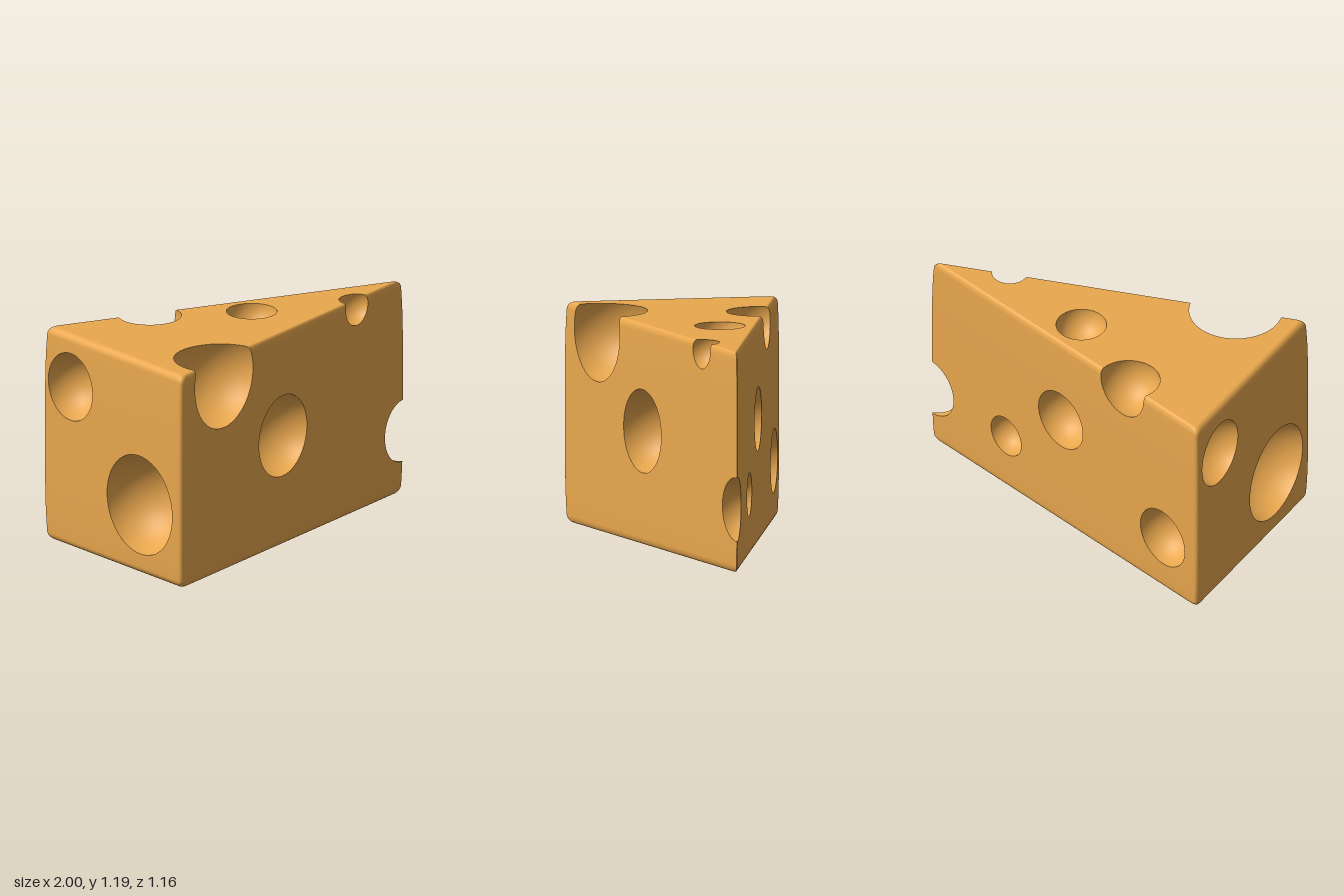
import * as THREE from 'three';

const H = 1.19, BEVEL = 0.04, SEG = 6;

// Spherical holes: x, y, z, radius
const HOLES = [
  [-0.62, 1.08, 0.45, 0.273],   // front top edge
  [-0.085, 0.615, 0.319, 0.225], // front face
  [0.587, 1.15, 0.118, 0.103],  // front top edge near the tip
  [0.025, 1.19, -0.08, 0.135],  // top face
  [-0.44, 1.155, -0.37, 0.173], // rear top edge
  [1.0, 0.343, 0, 0.172],       // tip
  [0.03, 0.683, -0.285, 0.173], // rear face
  [0.44, 0.338, -0.165, 0.118],
  [-0.735, 0.337, -0.51, 0.173],
  [-1.0, 0.905, -0.354, 0.186], // wide end
  [-1.0, 0.39, 0.2325, 0.275],
];

// How far the outline is drawn in at a height: a rounded rim plus a slight bulge
function insetAt(y) {
  const d = Math.max(0, Math.min(y, H - y));
  const k = Math.max(0, 1 - d / BEVEL);
  return 0.75 * (1 - Math.sqrt(1 - k * k)) + 0.25 * Math.pow(1 - d / (H / 2), 4);
}

// Triangular outline with softened corners, counter-clockwise from above
function outlineAt(y) {
  const t = insetAt(y);
  const corners = [
    [1.01 - 0.07 * t, 0, 0.02],
    [-1 + 0.045 * t, -0.588 + 0.045 * t, 0.035],
    [-1 + 0.045 * t, 0.588 - 0.045 * t, 0.035],
  ].map(([x, z, cut]) => ({ p: new THREE.Vector2(x, z), cut }));
  return corners.flatMap(({ p, cut }, i) => {
    const toward = (o) => o.p.clone().sub(p).setLength(cut).add(p);
    const a = toward(corners[(i + 2) % 3]), b = toward(corners[(i + 1) % 3]);
    return new THREE.QuadraticBezierCurve(a, p, b).getPoints(SEG);
  });
}

// Positive inside the wedge
function wedgeField(v) {
  let f = Math.min(v.y, H - v.y);
  const ring = outlineAt(v.y);
  ring.forEach((p, i) => {
    const q = ring[(i + 1) % ring.length];
    const dx = q.x - p.x, dz = q.y - p.y;
    f = Math.min(f, ((v.x - p.x) * dz - (v.z - p.y) * dx) / Math.hypot(dx, dz));
  });
  return f;
}

// Positive outside every hole
function holeField(v) {
  return Math.min(...HOLES.map(([x, y, z, r]) => Math.hypot(v.x - x, v.y - y, v.z - z) - r));
}

// Closed rounded wedge from stacked outlines
function wedgeGeometry() {
  const lower = [];
  for (let i = 0; i <= 8; i++) lower.push(BEVEL * (1 - Math.cos((i / 8) * Math.PI / 2)));
  lower.push(0.09, 0.17, 0.28, 0.42);
  const ys = [...lower, H / 2, ...lower.map((y) => H - y).reverse()];
  const pos = [], index = [];
  ys.forEach((y) => outlineAt(y).forEach((p) => pos.push(p.x, y, p.y)));
  const n = 3 * (SEG + 1), last = (ys.length - 1) * n, base = ys.length * n;
  pos.push(-0.33, 0, 0, -0.33, H, 0);
  for (let i = 0; i < n; i++) {
    const j = (i + 1) % n;
    for (let k = 0; k < last; k += n) {
      index.push(k + i, k + j, k + n + j, k + i, k + n + j, k + n + i);
    }
    index.push(base, j, i, base + 1, last + i, last + j);
  }
  const g = new THREE.BufferGeometry();
  g.setAttribute('position', new THREE.Float32BufferAttribute(pos, 3));
  g.setIndex(index);
  g.computeVertexNormals();
  return g;
}

// Sphere facing inwards
function cavityGeometry([x, y, z, r]) {
  const g = new THREE.SphereGeometry(r, 64, 44).scale(-1, 1, 1);
  const p = g.attributes.position, nor = g.attributes.normal;
  for (let i = 0; i < p.count; i++) {
    nor.setXYZ(i, -p.getX(i) / r, -p.getY(i) / r, -p.getZ(i) / r);
  }
  return g.translate(x, y, z);
}

const mix = (a, b, t) => ({
  p: a.p.clone().lerp(b.p, t),
  n: a.n.clone().lerp(b.n, t).normalize(),
});

// Keep the part of a surface where field > 0, refining triangles along the cut
function trim(geometry, field, maxEdge) {
  const P = geometry.attributes.position, N = geometry.attributes.normal;
  const pos = [], nor = [];

  const cross = (a, b) => {
    let lo = 0, hi = 1;
    const startsIn = field(a.p) > 0, v = new THREE.Vector3();
    for (let i = 0; i < 14; i++) {
      const m = (lo + hi) / 2;
      if ((field(v.lerpVectors(a.p, b.p, m)) > 0) === startsIn) lo = m;
      else hi = m;
    }
    return mix(a, b, (lo + hi) / 2);
  };

  const clip = (tri) => {
    const inside = tri.map((v) => field(v.p) > 0), poly = [];
    tri.forEach((v, i) => {
      const j = (i + 1) % 3;
      if (inside[i]) poly.push(v);
      if (inside[i] !== inside[j]) poly.push(cross(v, tri[j]));
    });
    for (let i = 1; i + 1 < poly.length; i++) {
      for (const v of [poly[0], poly[i], poly[i + 1]]) {
        pos.push(v.p.x, v.p.y, v.p.z);
        nor.push(v.n.x, v.n.y, v.n.z);
      }
    }
  };

  const refine = (tri) => {
    const len = tri.map((v, i) => v.p.distanceTo(tri[(i + 1) % 3].p));
    const long = Math.max(...len);
    if (long > maxEdge) {
      const centre = tri[0].p.clone().add(tri[1].p).add(tri[2].p).divideScalar(3);
      if (Math.abs(field(centre)) < long) {
        const i = len.indexOf(long);
        const a = tri[i], b = tri[(i + 1) % 3], c = tri[(i + 2) % 3], m = mix(a, b, 0.5);
        refine([a, m, c]);
        refine([m, b, c]);
        return;
      }
    }
    clip(tri);
  };

  const idx = geometry.index.array;
  for (let i = 0; i < idx.length; i += 3) {
    refine([0, 1, 2].map((k) => ({
      p: new THREE.Vector3().fromBufferAttribute(P, idx[i + k]),
      n: new THREE.Vector3().fromBufferAttribute(N, idx[i + k]),
    })));
  }
  const g = new THREE.BufferGeometry();
  g.setAttribute('position', new THREE.Float32BufferAttribute(pos, 3));
  g.setAttribute('normal', new THREE.Float32BufferAttribute(nor, 3));
  return g;
}

export function createModel() {
  const group = new THREE.Group();
  group.name = 'cheeseWedge';
  const material = new THREE.MeshStandardMaterial({ color: 0xeaa84e });
  const add = (name, geometry) => {
    const mesh = new THREE.Mesh(geometry, material);
    mesh.name = name;
    group.add(mesh);
  };

  // Wedge with openings cut where the holes meet its surface
  add('wedgeBody', trim(wedgeGeometry(), holeField, 0.018));

  // Hollow walls of the holes
  HOLES.forEach((h, i) => add(`hole${i + 1}`, trim(cavityGeometry(h), wedgeField, 0.03)));
  return group;
}
